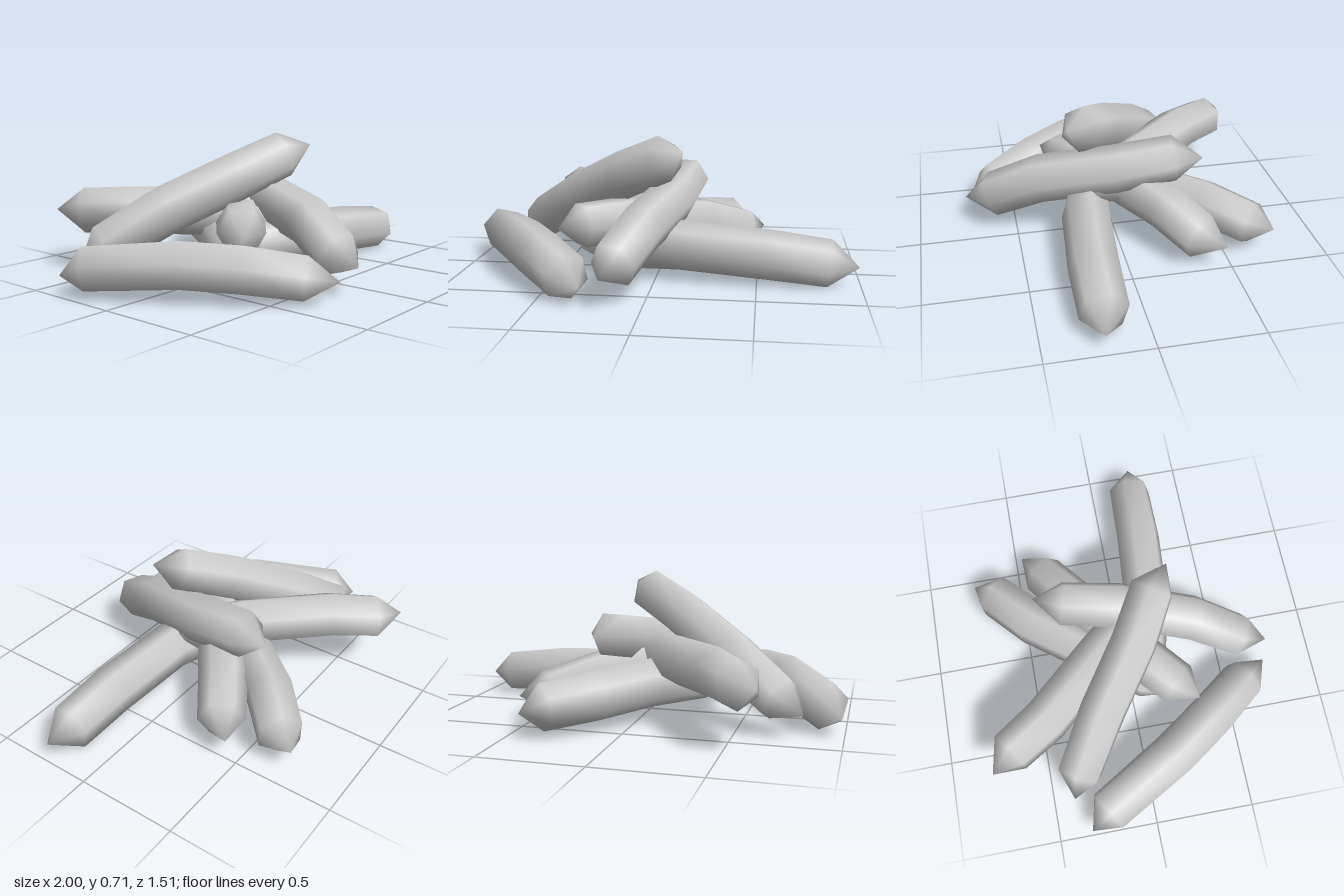
import * as THREE from 'three';

const SIDES = 6;
const UP = new THREE.Vector3(0, 1, 0);
const EDGE_UP = Math.PI / 6;
const TILTED = Math.PI / 12;

// Each stick: roll about its length, then its centre line as tip, end ring, body rings, end ring, tip.
const STICKS = {
  leftBaseStick: [TILTED, [[0.99, 0.1, 0.225], [0.85, 0.113, 0.208], [0.55, 0.145, 0.2], [0.12, 0.17, 0.165], [-0.14, 0.145, 0.1], [-0.27, 0.12, 0.05]]],
  rightBaseStick: [TILTED, [[-0.99, 0.1, -0.33], [-0.91, 0.13, -0.235], [-0.69, 0.165, 0.15], [-0.535, 0.15, 0.37], [-0.36, 0.113, 0.59], [-0.275, 0.1, 0.72]]],
  backBaseStick: [EDGE_UP, [[0.41, 0.13, -0.74], [0.34, 0.14, -0.64], [0.14, 0.165, -0.455], [-0.065, 0.185, -0.19], [-0.28, 0.17, 0.1], [-0.38, 0.15, 0.2]]],
  crossStick: [0, [[0.53, 0.14, -0.46], [0.415, 0.143, -0.36], [0.2, 0.215, -0.22], [-0.13, 0.265, 0.02], [-0.365, 0.268, 0.225], [-0.46, 0.27, 0.32]]],
  rearUpperStick: [EDGE_UP, [[-0.66, 0.31, -0.76], [-0.565, 0.303, -0.66], [-0.44, 0.307, -0.465], [-0.13, 0.3, -0.12], [0.04, 0.27, 0.06], [0.12, 0.25, 0.15]]],
  frontLeaningStick: [0, [[0.16, 0.44, -0.43], [0.113, 0.43, -0.29], [0.07, 0.375, 0], [-0.04, 0.3, 0.37], [-0.137, 0.18, 0.61], [-0.18, 0.15, 0.75]]],
  topStick: [EDGE_UP, [[0.14, 0.645, 0.25], [0.04, 0.6, 0.16], [-0.18, 0.495, 0.03], [-0.45, 0.347, -0.175], [-0.705, 0.178, -0.345], [-0.82, 0.115, -0.39]]],
};

// Sweeps a six-sided section along the path and closes both ends with points.
function stickGeometry(roll, path) {
  const pts = path.map((p) => new THREE.Vector3(...p));
  const last = pts.length - 1;
  const rings = last - 1;
  const positions = [...path[0]];
  const index = [];
  for (let i = 1; i < last; i++) {
    const dir = pts[i + 1].clone().sub(pts[i - 1]).normalize();
    const side = dir.clone().cross(UP).normalize();
    const up = side.clone().cross(dir);
    const radius = i === 1 || i === last - 1 ? 0.116 : 0.123;
    for (let j = 0; j < SIDES; j++) {
      const a = roll + (j / SIDES) * Math.PI * 2;
      const v = pts[i].clone()
        .addScaledVector(side, Math.cos(a) * radius)
        .addScaledVector(up, Math.sin(a) * radius);
      positions.push(v.x, v.y, v.z);
    }
  }
  positions.push(...path[last]);
  const end = 1 + rings * SIDES;
  for (let j = 0; j < SIDES; j++) {
    const k = (j + 1) % SIDES;
    index.push(0, 1 + j, 1 + k);
    for (let r = 0; r < rings - 1; r++) {
      const a = 1 + r * SIDES;
      const b = a + SIDES;
      index.push(a + j, b + j, a + k, a + k, b + j, b + k);
    }
    const e = end - SIDES;
    index.push(e + j, end, e + k);
  }
  const geometry = new THREE.BufferGeometry();
  geometry.setAttribute('position', new THREE.Float32BufferAttribute(positions, 3));
  geometry.setIndex(index);
  geometry.computeVertexNormals();
  return geometry;
}

export function createModel() {
  const model = new THREE.Group();
  model.name = 'stickPile';
  const material = new THREE.MeshStandardMaterial({ color: 0xcccccc });
  // Heap of gently bent, pointed sticks
  for (const [name, [roll, path]] of Object.entries(STICKS)) {
    const stick = new THREE.Mesh(stickGeometry(roll, path), material);
    stick.name = name;
    model.add(stick);
  }
  return model;
}
